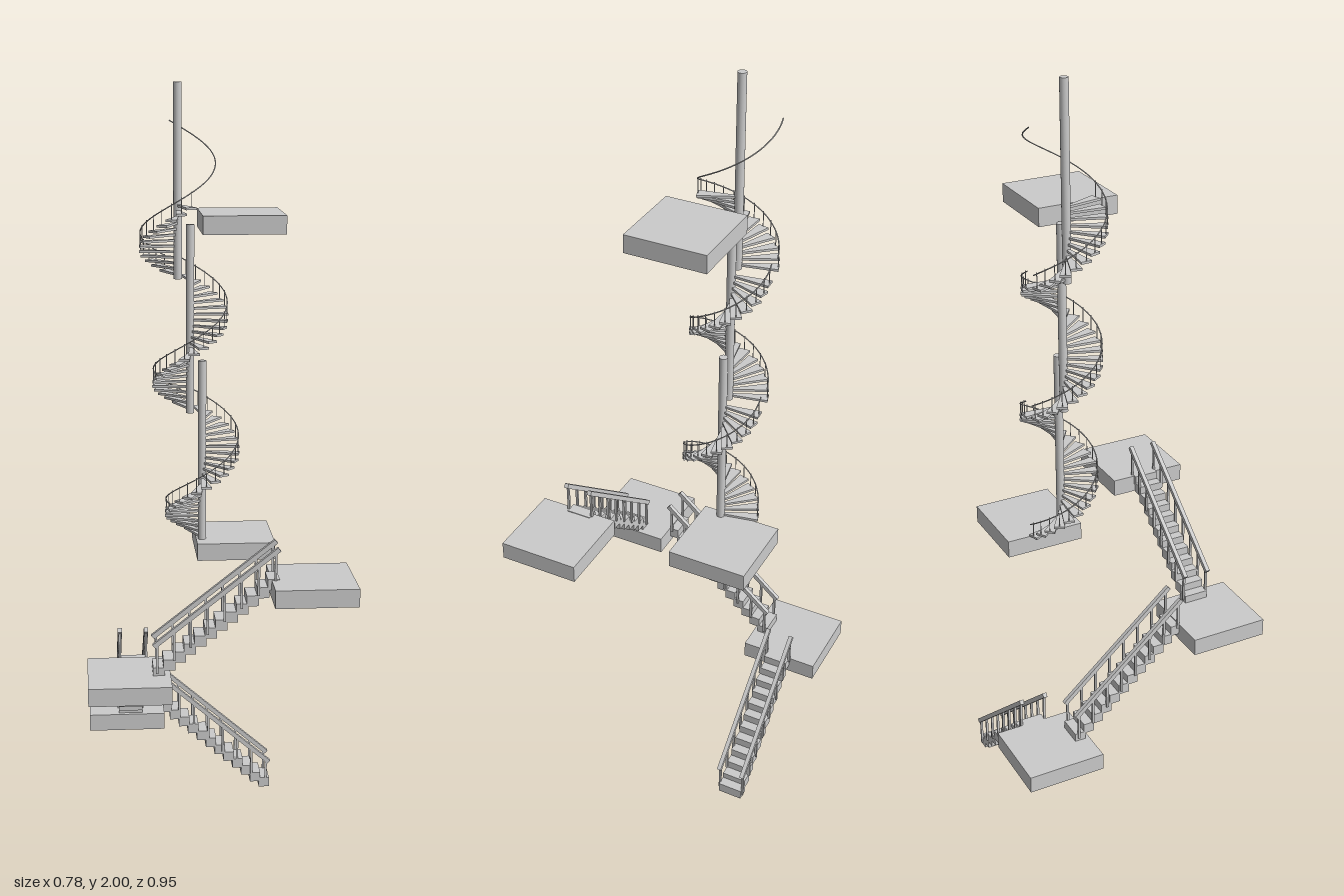
import * as THREE from 'three';

const material = new THREE.MeshStandardMaterial({ color: 0xcccccc });
// Plan axes shared by every platform and flight, as [x, z]
const YAW = -0.604;
const U = [0.823, 0.568], V = [-0.568, 0.823];
const TURN = Math.PI * 2;

function add(parent, geometry, name, x = 0, y = 0, z = 0) {
  const mesh = new THREE.Mesh(geometry, material);
  mesh.name = name;
  mesh.position.set(x, y, z);
  parent.add(mesh);
  return mesh;
}

// Straight flight climbing along local +x, with a handrail on both sides
function makeFlight(name, start, dir, base, rise, run) {
  const flight = new THREE.Group();
  flight.name = name;
  const steps = 12, riser = rise / steps, going = run / steps;
  const tread = new THREE.BoxGeometry(going * 1.15, 0.028, 0.066);
  for (let i = 0; i < steps; i++) {
    const y = Math.max((i + 1) * riser - 0.014, 0.014 - base);
    add(flight, tread, 'step', (i + 0.5) * going, y, 0);
  }
  const railHeight = 0.08, posts = 8;
  const rail = new THREE.BoxGeometry(Math.hypot(run, rise) , 0.012, 0.011);
  const post = new THREE.BoxGeometry(0.006, railHeight, 0.006);
  for (const side of [-1, 1]) {
    const z = side * 0.034;
    add(flight, rail, 'handrail', run / 2, rise / 2 + railHeight, z).rotation.z = Math.atan2(rise, run);
    for (let i = 0; i < posts; i++) {
      const k = (i + 0.2) / (posts - 0.6);
      add(flight, post, 'baluster', k * run, k * rise + railHeight / 2, z);
    }
  }
  flight.position.set(start[0], base, start[1]);
  flight.rotation.y = Math.atan2(-dir[1], dir[0]);
  return flight;
}

// Spiral unit: centre pole, wedge treads, thin balusters and a helical rail
function makeSpiral(x, y, z, stepCount) {
  const unit = new THREE.Group();
  unit.name = 'spiralStair';
  unit.position.set(x, y, z);
  const perTurn = 24, pitch = 0.357, radius = 0.1, poleHeight = 0.497, railHeight = 0.042;
  const slice = TURN / perTurn, half = slice * 0.55, phase = 1.14;

  add(unit, new THREE.CylinderGeometry(0.011, 0.011, poleHeight, 16), 'pole', 0, poleHeight / 2, 0);

  const wedge = new THREE.Shape();
  wedge.moveTo(0.008, -0.004);
  wedge.lineTo(radius * Math.cos(half), -radius * Math.sin(half));
  wedge.lineTo(radius * Math.cos(half), radius * Math.sin(half));
  wedge.lineTo(0.008, 0.004);
  const tread = new THREE.ExtrudeGeometry(wedge, { depth: 0.006, bevelEnabled: false });
  tread.rotateX(-Math.PI / 2);
  const baluster = new THREE.CylinderGeometry(0.0012, 0.0012, railHeight, 6);
  for (let i = 0; i < stepCount; i++) {
    const step = new THREE.Group();
    step.name = 'spiralStep';
    step.position.y = ((i + 0.5) / perTurn) * pitch;
    step.rotation.y = phase + (i + 0.5) * slice;
    add(step, tread, 'spiralTread');
    add(step, baluster, 'spiralBaluster', 0.097, railHeight / 2 + 0.004, 0);
    unit.add(step);
  }

  const points = [];
  for (let i = 0; i <= 48; i++) {
    const k = i / 48, a = phase + k * TURN;
    points.push(new THREE.Vector3(0.097 * Math.cos(a), k * pitch + railHeight, -0.097 * Math.sin(a)));
  }
  add(unit, new THREE.TubeGeometry(new THREE.CatmullRomCurve3(points), 144, 0.0016, 6), 'spiralHandrail');
  return unit;
}

export function createModel() {
  const model = new THREE.Group();
  model.name = 'stairTower';

  // Landings: [x, top height, z]
  const slab = new THREE.BoxGeometry(0.21, 0.047, 0.21);
  const landings = [
    [0.03, 0.27, -0.331],
    [-0.245, 0.548, 0.061],
    [0.135, 0.796, 0.327],
    [0.224, 0.796, -0.09],
    [0.165, 1.681, 0.003],
  ];
  for (const [x, top, z] of landings) add(model, slab, 'landing', x, top - 0.0235, z).rotation.y = YAW;

  // Straight flights
  model.add(makeFlight('lowerFlight', [0.368, -0.097], [-U[0], -U[1]], 0, 0.27, 0.31));
  model.add(makeFlight('middleFlight', [0.001, -0.271], V, 0.27, 0.275, 0.312));
  model.add(makeFlight('upperFlight', [-0.19, 0.091], U, 0.548, 0.25, 0.315));

  // Spiral units, each shifted so one continues the last
  for (let i = 0; i < 3; i++) {
    model.add(makeSpiral(0.12 - 0.026 * i, 0.79 + 0.3565 * i, -0.097 - 0.019 * i, i < 2 ? 24 : 13));
  }
  return model;
}
